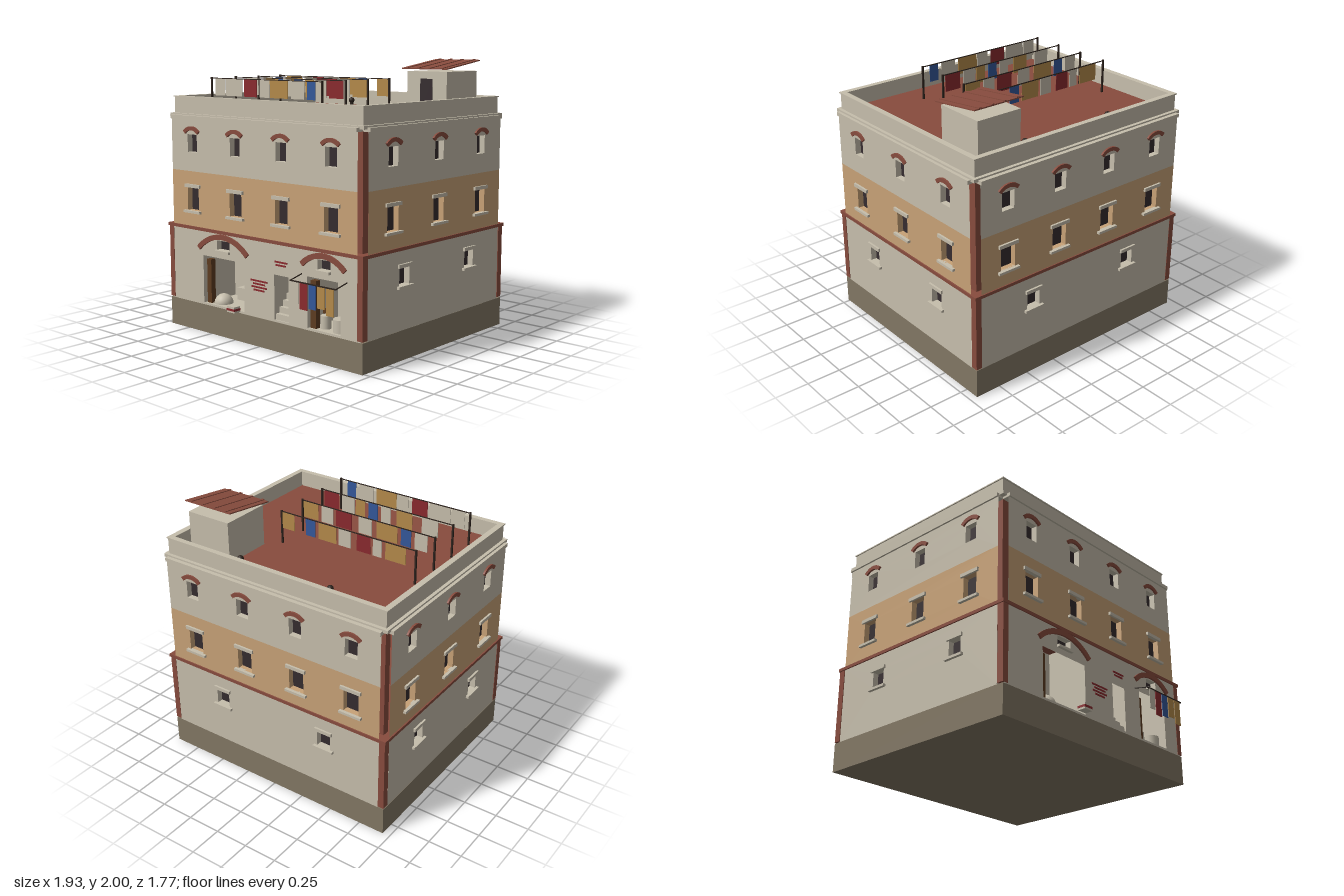
import * as THREE from 'three';

const mat = (name, color) => new THREE.MeshStandardMaterial({ name, color, side: THREE.DoubleSide });

export function createModel() {
  const M = {
    cream: mat('cream plaster', 0xc6beac), tan: mat('tan plaster', 0xc8a277),
    brick: mat('red brick', 0x884c3e), stone: mat('base stone', 0x827764),
    dark: mat('dark glass', 0x352c2f), red: mat('red cloth', 0x8a2a2e),
    ochre: mat('ochre cloth', 0xb48a4a), blue: mat('blue cloth', 0x34589a),
    wood: mat('brown wood', 0x5e3c20), iron: mat('dark iron', 0x2e241e),
  };
  const model = new THREE.Group();
  model.name = 'building';
  const CZ = -0.0475, HX = 0.9, HZ = 0.762, ROOF = 1.615;

  const add = (parent, name, geo, m, x = 0, y = 0, z = 0) => {
    const mesh = new THREE.Mesh(geo, m);
    mesh.name = name;
    mesh.position.set(x, y, z);
    parent.add(mesh);
    return mesh;
  };
  // box from its minimum and maximum corners
  const box = (p, name, m, x0, x1, y0, y1, z0, z1) =>
    add(p, name, new THREE.BoxGeometry(x1 - x0, y1 - y0, z1 - z0), m, (x0 + x1) / 2, (y0 + y1) / 2, (z0 + z1) / 2);
  const group = (name, parent = model) => {
    const g = new THREE.Group();
    g.name = name;
    parent.add(g);
    return g;
  };
  const rect = (x0, x1, y0, y1, C = THREE.Shape) => {
    const s = new C();
    s.moveTo(x0, y0); s.lineTo(x1, y0); s.lineTo(x1, y1); s.lineTo(x0, y1); s.closePath();
    return s;
  };
  const extrude = (s, depth) => new THREE.ExtrudeGeometry(s, { depth, bevelEnabled: false, curveSegments: 10 });
  // horizontal rectangular ring around the building
  const ring = (name, m, hx, hz, ix, iz, y0, y1) => {
    const s = rect(-hx, hx, -hz, hz);
    s.holes.push(rect(-ix, ix, -iz, iz, THREE.Path));
    add(model, name, extrude(s, y1 - y0), m, 0, y0, CZ).rotation.x = -Math.PI / 2;
    model.children.at(-1).position.y = y1;
    model.children.at(-1).rotation.x = Math.PI / 2;
  };
  // 90 degree brick arch of outer radius r whose crown is at height top
  const arch = (p, x, top, r, t, d) => {
    const s = new THREE.Shape(), a = Math.PI / 4;
    s.absarc(0, 0, r, a, 3 * a, false);
    s.absarc(0, 0, r - t, 3 * a, a, true);
    s.closePath();
    add(p, 'brickArch', extrude(s, d), M.brick, x, top - r, 0);
  };

  // one storey of wall: a sheet with openings, each window with reveal and glass
  const storey = (p, name, m, half, y0, y1, windows, doors = []) => {
    const s = rect(-half, half, y0, y1);
    for (const [x0, x1, b, t] of doors) s.holes.push(rect(x0, x1, b, t, THREE.Path));
    for (const { x, w, b, t, lintel, sill, arched } of windows) {
      const x0 = x - w / 2, x1 = x + w / 2, e = 0.004;
      s.holes.push(rect(x0, x1, b, t, THREE.Path));
      const f = rect(x0 - e, x1 + e, b - e, t + e);
      f.holes.push(rect(x0, x1, b, t, THREE.Path));
      add(p, 'windowReveal', extrude(f, 0.045), m, 0, 0, -0.0452);
      add(p, 'windowGlass', new THREE.PlaneGeometry(w, t - b), M.dark, x, (b + t) / 2, -0.044);
      if (lintel) box(p, 'lintel', M.cream, x - lintel / 2, x + lintel / 2, t, t + 0.025, -0.012, 0.015);
      if (sill) box(p, 'windowSill', M.cream, x - sill / 2, x + sill / 2, b - 0.018, b, -0.012, 0.022);
      if (arched) arch(p, x, 1.52, 0.12, 0.028, 0.014);
    }
    add(p, name, new THREE.ShapeGeometry(s), m);
  };
  const openings = [[-0.575, -0.145, 0.225, 0.58], [0.15, 0.29, 0.225, 0.545], [0.46, 0.76, 0.225, 0.58]];
  const facade = (name, half, xs, ground, x, z, turn, doors) => {
    const g = group(name);
    g.position.set(x, 0, z);
    g.rotation.y = turn;
    storey(g, 'groundWall', M.cream, half, 0.21, 0.77, ground, doors);
    storey(g, 'middleWall', M.tan, half, 0.77, 1.19,
      xs.map(x => ({ x, w: 0.12, b: 0.9, t: 1.07, lintel: 0.162, sill: 0.175 })));
    storey(g, 'upperWall', M.cream, half, 1.19, 1.58,
      xs.map(x => ({ x, w: 0.1, b: 1.33, t: 1.46, arched: true })));
    return g;
  };
  const small = x => ({ x, w: 0.11, b: 0.52, t: 0.643, lintel: 0.142, sill: 0.162 });
  const long = [-0.675, -0.225, 0.225, 0.675], short = [-0.508, 0, 0.508];
  const front = facade('frontFacade', HX, long, [
    { x: -0.36, w: 0.135, b: 0.64, t: 0.71, sill: 0.145 },
    { x: 0.612, w: 0.115, b: 0.64, t: 0.71, sill: 0.125 },
  ], 0, 0.767, 0, openings);
  facade('backFacade', HX, long, [-0.45, 0.45].map(small), 0, -0.862, Math.PI);
  for (const s of [1, -1])
    facade(s > 0 ? 'leftFacade' : 'rightFacade', HZ, short, [-0.38, 0.38].map(small), s * 0.945, CZ, s * Math.PI / 2);
  arch(front, -0.36, 0.757, 0.376, 0.037, 0.014);
  arch(front, 0.61, 0.757, 0.288, 0.037, 0.014);

  // base, brick band, corner posts
  box(model, 'base', M.stone, -0.946, 0.946, 0, 0.21, -0.862, 0.767);
  box(model, 'groundFloor', M.cream, -0.93, 0.93, 0.2, 0.222, -0.84, 0.766);
  box(model, 'brickBand', M.brick, -0.955, 0.955, 0.76, 0.783, CZ - 0.823, CZ + 0.823);
  for (const sx of [-1, 1]) for (const sz of [-1, 1]) {
    const x = sx * 0.924, z = CZ + sz * 0.791;
    box(model, 'cornerPost', M.brick, x - 0.023, x + 0.023, 0.218, 0.765, z - 0.025, z + 0.025);
    const ux = sx * 0.873, uz = CZ + sz * 0.735;
    box(model, 'upperCornerPost', M.brick, ux - 0.027, ux + 0.027, 0.78, 1.58, uz - 0.027, uz + 0.027);
  }

  // cornice, parapet and roof deck
  box(model, 'cornice', M.cream, -0.9, 0.9, 1.57, 1.597, CZ - 0.828, CZ + 0.828);
  box(model, 'cornice', M.cream, -0.958, 0.958, 1.569, 1.596, CZ - HZ, CZ + HZ);
  box(model, 'upperCornice', M.cream, -0.935, 0.935, 1.585, 1.608, CZ - 0.798, CZ + 0.798);
  ring('parapet', M.cream, 0.91, 0.772, 0.876, 0.74, 1.6, 1.727);
  ring('parapetCap', M.cream, 0.918, 0.78, 0.874, 0.738, 1.725, 1.733);
  box(model, 'roofDeck', M.brick, -0.88, 0.88, 1.6, ROOF, CZ - 0.745, CZ + 0.745);

  // rooms behind the ground floor openings
  const rooms = group('groundRooms');
  box(rooms, 'backWall', M.cream, -0.88, 0.88, 0.22, 0.77, 0.44, 0.45);
  for (const x of [-0.587, -0.137, 0.142, 0.298, 0.452, 0.785])
    box(rooms, 'partition', M.cream, x - 0.008, x + 0.008, 0.22, 0.765, 0.44, 0.764);
  for (let i = 0; i < 7; i++)
    box(rooms, 'stairStep', M.cream, 0.152, 0.288, 0.22, 0.265 + i * 0.042, 0.715 - i * 0.035, 0.75 - i * 0.035);
  box(rooms, 'doorLeaf', M.wood, -0.566, -0.522, 0.222, 0.55, 0.7, 0.74);
  box(rooms, 'doorLeaf', M.wood, 0.468, 0.518, 0.222, 0.55, 0.7, 0.74);
  box(rooms, 'counter', M.cream, -0.46, -0.147, 0.222, 0.315, 0.45, 0.54);
  box(rooms, 'shelf', M.wood, 0.5, 0.535, 0.31, 0.34, 0.6, 0.65);
  add(rooms, 'domeOven', new THREE.SphereGeometry(0.07, 16, 8, 0, Math.PI * 2, 0, Math.PI / 2), M.cream, -0.455, 0.225, 0.68);
  for (const [x, r] of [[0.555, 0.037], [0.695, 0.06]])
    add(rooms, 'barrel', new THREE.CylinderGeometry(r, r, 0.09, 16), M.cream, x, 0.267, 0.68);

  // front bench and painted sign strips
  box(model, 'bench', M.cream, -0.25, -0.175, 0.224, 0.268, 0.782, 0.84);
  box(model, 'benchStripe', M.red, -0.252, -0.173, 0.237, 0.253, 0.78, 0.842);
  for (const [x, y, w] of [[0.005, 0.475, 0.165], [0.005, 0.453, 0.12], [0.005, 0.43, 0.15], [0.005, 0.408, 0.105],
    [0.22, 0.638, 0.118], [0.22, 0.616, 0.095]])
    box(model, 'signStrip', M.red, x - w / 2, x + w / 2, y - 0.006, y + 0.006, 0.767, 0.771);

  // cloth rack over the shop
  const rack = group('shopRack');
  box(rack, 'rackBar', M.iron, 0.41, 0.817, 0.561, 0.569, 0.874, 0.882);
  for (const x of [0.413, 0.814])
    add(rack, 'rackArm', new THREE.BoxGeometry(0.006, 0.006, 0.118), M.iron, x, 0.578, 0.822).rotation.x = 0.22;
  for (const [c, x0, x1, y] of [['cream', 0.43, 0.49, 0.415], ['red', 0.5, 0.567, 0.383], ['blue', 0.578, 0.642, 0.398],
    ['ochre', 0.654, 0.72, 0.415], ['ochre', 0.731, 0.796, 0.38]])
    box(rack, 'hangingCloth', M[c], x0, x1, y, 0.562, 0.876, 0.88);

  // roof washing lines: cloth colour, start and end along each line
  const lines = [
    [0.492, [['cream', -0.715, -0.61], ['cream', -0.6, -0.43], ['red', -0.41, -0.28], ['cream', -0.25, -0.15],
      ['ochre', -0.145, 0.03], ['cream', 0.06, 0.185], ['blue', 0.215, 0.29]]],
    [0.248, [['cream', -0.64, -0.51], ['ochre', -0.43, -0.3], ['cream', -0.25, -0.17], ['blue', -0.14, -0.06],
      ['ochre', -0.03, 0.05], ['cream', 0.06, 0.17], ['red', 0.2, 0.33]]],
    [0.005, [['cream', -0.7, -0.6], ['blue', -0.57, -0.49], ['ochre', -0.46, -0.29], ['cream', -0.25, -0.14],
      ['red', -0.08, 0.055], ['cream', 0.08, 0.18], ['ochre', 0.21, 0.34]]],
    [-0.238, [['ochre', -0.68, -0.52], ['cream', -0.49, -0.42], ['red', -0.4, -0.29], ['cream', -0.24, -0.14],
      ['ochre', -0.12, 0.03], ['blue', 0.06, 0.14], ['ochre', 0.24, 0.345]]],
  ];
  for (const [z, cloths] of lines) {
    const g = group('washingLine');
    for (const x of [-0.757, 0.352]) box(g, 'linePole', M.iron, x - 0.006, x + 0.006, ROOF, 1.867, z - 0.006, z + 0.006);
    box(g, 'line', M.iron, -0.757, 0.352, 1.857, 1.863, z - 0.003, z + 0.003);
    for (const [c, x0, x1] of cloths) box(g, 'washing', M[c], x0, x1, 1.733, 1.858, z - 0.002, z + 0.002);
  }

  // stair hut with sloping ribbed canopy
  const hut = group('roofHut');
  box(hut, 'hutWalls', M.cream, 0.445, 0.795, ROOF - 0.01, 1.917, -0.71, -0.333);
  box(hut, 'hutDoor', M.dark, 0.565, 0.672, ROOF, 1.865, -0.333, -0.329);
  const canopy = group('canopy', hut);
  canopy.position.set(0.62, 1.966, -0.505);
  canopy.rotation.x = 0.137;
  box(canopy, 'canopySheet', M.brick, -0.2, 0.2, -0.005, 0.003, -0.208, 0.208);
  for (const x of [-0.153, -0.052, 0.05, 0.152]) box(canopy, 'canopyRib', M.brick, x - 0.01, x + 0.01, 0, 0.008, -0.206, 0.212);

  // roof vents
  for (const x of [-0.38, 0.377]) {
    add(model, 'ventPipe', new THREE.CylinderGeometry(0.015, 0.015, 0.04, 12), M.iron, x, ROOF + 0.02, -0.675);
    add(model, 'ventCap', new THREE.SphereGeometry(0.023, 14, 10), M.iron, x, ROOF + 0.045, -0.675);
  }
  return model;
}
